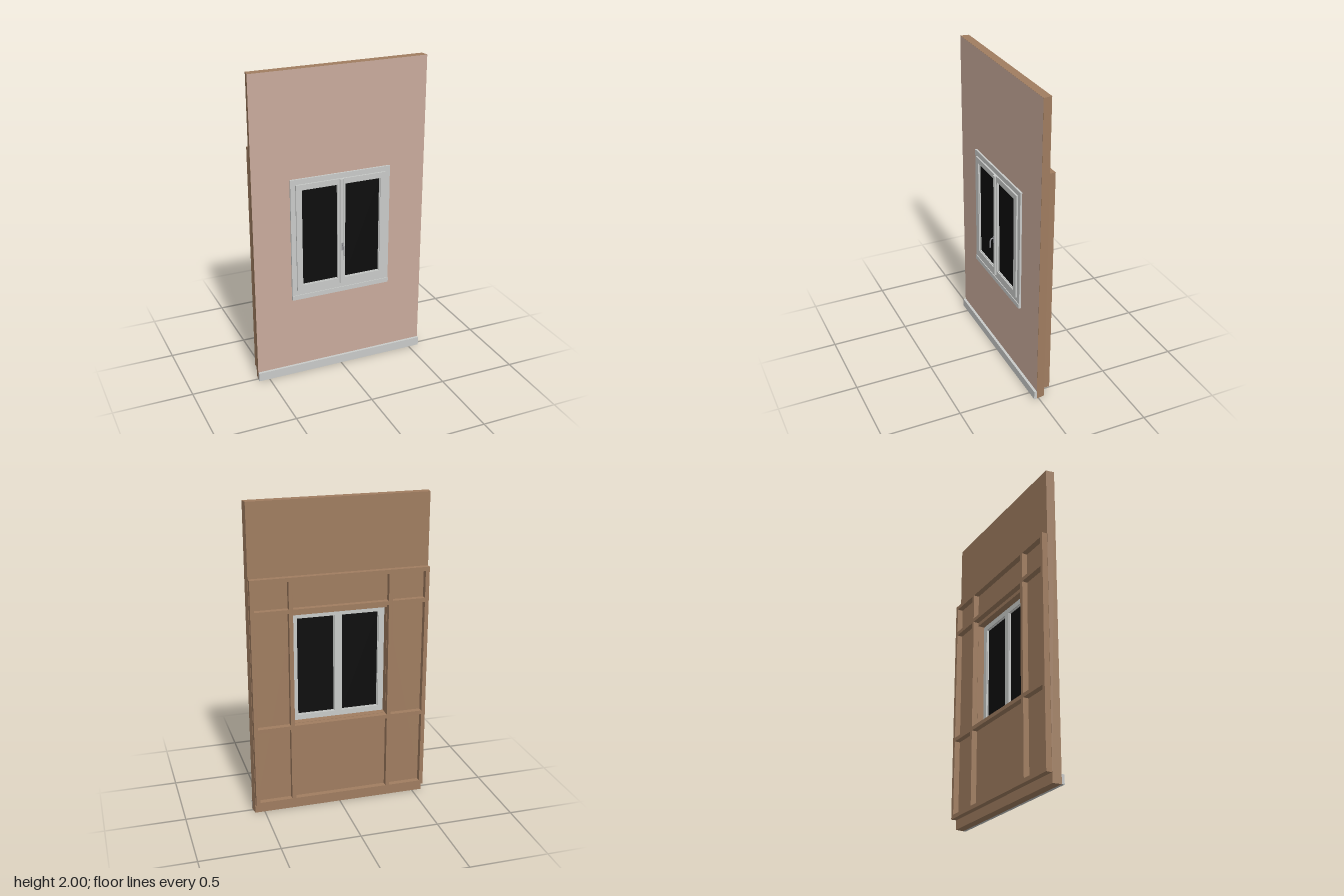
import * as THREE from 'three';

const material = (name, color) => {
  const m = new THREE.MeshStandardMaterial({ color });
  m.name = name;
  return m;
};

export function createModel() {
  const model = new THREE.Group();
  model.name = 'wallWithWindow';
  const plaster = material('pink plaster', 0xc9ab9c);
  const wood = material('brown wood', 0xa07d60);
  const paint = material('light grey paint', 0xc9cbc9);
  const glass = material('black glass', 0x0d0d0d);
  const metal = material('handle metal', 0x8f8f93);

  const add = (name, geometry, mat, parent = model) => {
    const mesh = new THREE.Mesh(geometry, mat);
    mesh.name = name;
    parent.add(mesh);
    return mesh;
  };
  // Box given by its limits on each axis
  const box = (name, mat, x0, x1, y0, y1, z0, z1, parent) => {
    const g = new THREE.BoxGeometry(x1 - x0, y1 - y0, z1 - z0);
    g.translate((x0 + x1) / 2, (y0 + y1) / 2, (z0 + z1) / 2);
    return add(name, g, mat, parent);
  };
  // Rectangle with a rectangular hole, each given as [x0, x1, y0, y1]
  const ringShape = (outer, hole) => {
    const corners = ([x0, x1, y0, y1]) => [[x0, y0], [x1, y0], [x1, y1], [x0, y1]]
      .map(([x, y]) => new THREE.Vector2(x, y));
    const shape = new THREE.Shape(corners(outer));
    shape.holes.push(new THREE.Path(corners(hole).reverse()));
    return shape;
  };
  const ring = (outer, hole, z0, z1) => {
    const g = new THREE.ExtrudeGeometry(ringShape(outer, hole), { depth: z1 - z0, bevelEnabled: false });
    return g.translate(0, 0, z0);
  };

  // Wall panel, slightly narrower at the back
  const wallFace = [-0.57, 0.57, 0, 2];
  const opening = [-0.3, 0.3, 0.593, 1.3];
  const wallGeometry = ring(wallFace, opening, -0.042, 0.012);
  const p = wallGeometry.attributes.position;
  for (let i = 0; i < p.count; i++) {
    if (Math.abs(p.getX(i)) > 0.5 && p.getZ(i) < 0) p.setX(i, Math.sign(p.getX(i)) * 0.562);
  }
  wallGeometry.computeVertexNormals();
  add('wallPanel', wallGeometry, wood);
  add('plasterFace', new THREE.ShapeGeometry(ringShape(wallFace, opening)).translate(0, 0, 0.013), plaster);
  box('baseboard', paint, -0.57, 0.57, 0, 0.056, 0.012, 0.03);

  // Timber framing on the back
  const framing = new THREE.Group();
  framing.name = 'backFraming';
  model.add(framing);
  const zBack = -0.078, zWall = -0.04;
  for (const side of [-1, 1]) {
    for (const [name, x] of [['edgeStud', 0.5475], ['windowStud', 0.3135]]) {
      box(name, wood, side * x - 0.0125, side * x + 0.0125, 0.085, 1.52, zBack, zWall, framing);
    }
  }
  for (const y of [0.06, 1.52]) box('plate', wood, -0.56, 0.56, y, y + 0.025, zBack, zWall, framing);
  for (const y of [0.566, 1.323]) {
    for (const [x0, x1] of [[-0.535, -0.326], [-0.301, 0.301], [0.326, 0.535]]) {
      box('rail', wood, x0, x1, y, y + 0.025, zBack, zWall, framing);
    }
  }

  // Window casing with a sill below
  const windowGroup = new THREE.Group();
  windowGroup.name = 'window';
  model.add(windowGroup);
  add('casing', ring([-0.33, 0.33, 0.53, 1.332], [-0.297, 0.297, 0.597, 1.297], 0.012, 0.025), paint, windowGroup);
  box('sill', paint, -0.33, 0.33, 0.53, 0.56, 0.024, 0.03, windowGroup);

  // Pair of sashes with glazing beads and panes
  for (const side of [-1, 1]) {
    const span = (a, b, y0, y1) => (side > 0 ? [a, b, y0, y1] : [-b, -a, y0, y1]);
    const sash = new THREE.Group();
    sash.name = side > 0 ? 'leftSash' : 'rightSash';
    windowGroup.add(sash);
    add('sashFrame', ring(span(0, 0.2985, 0.594, 1.299), span(0.024, 0.262, 0.628, 1.264), 0, 0.035), paint, sash);
    add('glazingBead', ring(span(0.022, 0.264, 0.626, 1.266), span(0.027, 0.258, 0.632, 1.26), 0.008, 0.028), paint, sash);
    const [x0, x1, y0, y1] = span(0.025, 0.26, 0.63, 1.262);
    box('pane', glass, x0, x1, y0, y1, 0.015, 0.021, sash);
  }

  // Bevelled strip covering the joint between the sashes
  const strip = new THREE.Shape([[-0.015, -0.034], [0.015, -0.034], [0.008, -0.045], [-0.008, -0.045]]
    .map(([x, y]) => new THREE.Vector2(x, y)).reverse());
  const stripGeometry = new THREE.ExtrudeGeometry(strip, { depth: 0.703, bevelEnabled: false });
  stripGeometry.rotateX(-Math.PI / 2).scale(1, 1, 1);
  stripGeometry.translate(0, 0.595, 0);
  add('coverStrip', stripGeometry, paint, windowGroup);

  // Handle with a mounting plate and a curved lever
  const handle = new THREE.Group();
  handle.name = 'handle';
  windowGroup.add(handle);
  box('handlePlate', metal, -0.007, 0.007, 0.825, 0.875, 0.044, 0.048, handle);
  const path = new THREE.CatmullRomCurve3([[0.862, 0.046], [0.864, 0.058], [0.856, 0.067], [0.838, 0.071], [0.802, 0.072]]
    .map(([y, z]) => new THREE.Vector3(0, y, z)));
  add('lever', new THREE.TubeGeometry(path, 16, 0.0045, 8), metal, handle);
  const tip = add('leverTip', new THREE.SphereGeometry(0.0045, 8, 6), metal, handle);
  tip.position.set(0, 0.802, 0.072);

  return model;
}
